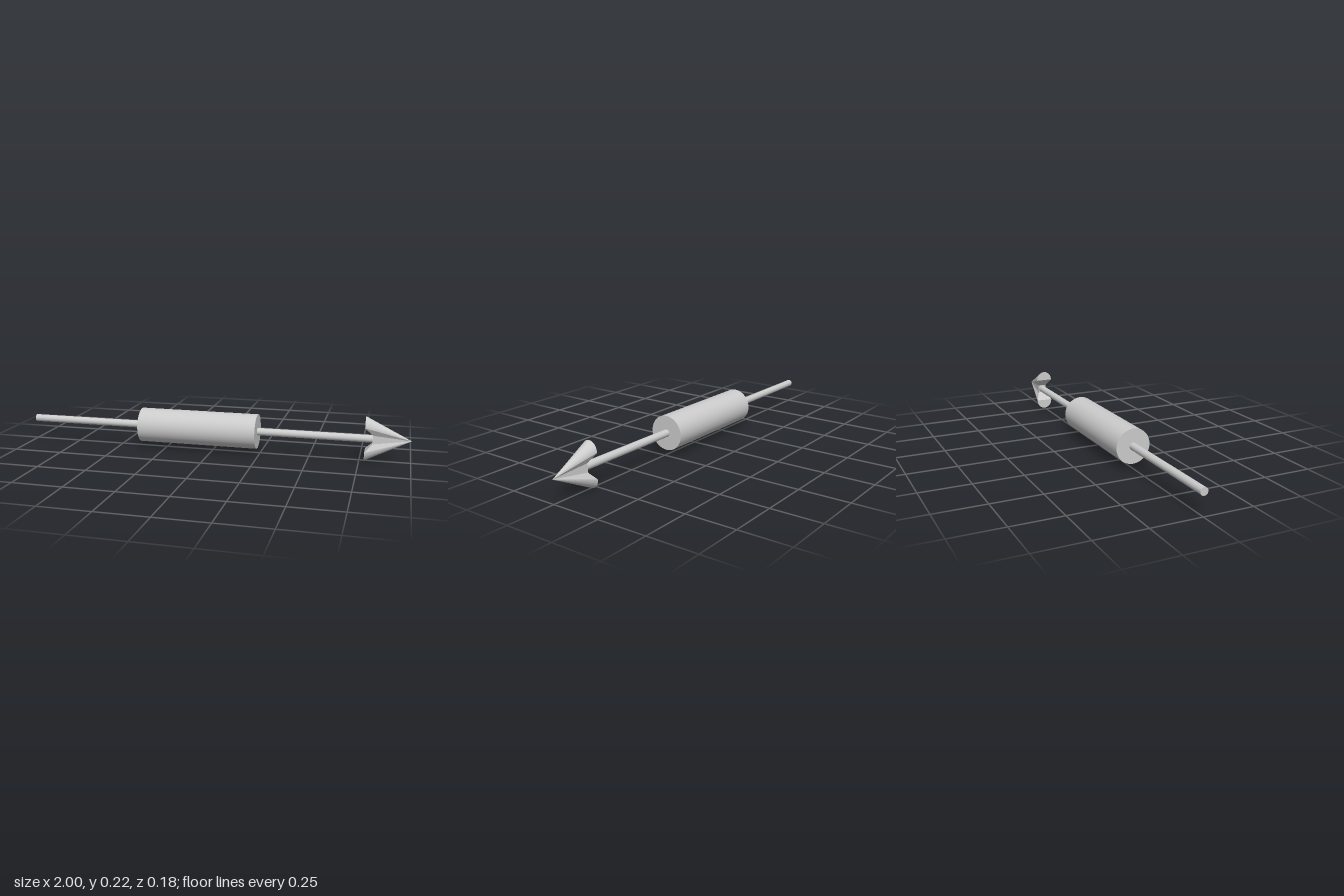
import * as THREE from 'three';

const AXIS_Y = 0.113;

// One barb of the arrowhead plus half of its waist; the other half is the same turned about x
function barbGeometry() {
  const tip = [1, 0, 0], base = 0.775, waist = 0.813, w = 0.022;
  const a = [waist, w, w], b = [waist, w, -w], below = [waist, -w, w];
  const steps = 16, rim = [];
  for (let i = 0; i <= steps; i++) {
    const t = (Math.PI * i) / steps;
    rim.push([base, 0.062 + 0.05 * Math.sin(t), 0.0445 * Math.cos(t)]);
  }
  const first = rim[0], last = rim[steps];
  const tris = [];
  for (let i = 0; i < steps; i++) {
    tris.push(tip, rim[i + 1], rim[i]); // rounded outside
    if (i > 0) tris.push(first, rim[i], rim[i + 1]); // flat rear end
  }
  tris.push(tip, first, a, tip, b, last); // flanks
  tris.push(tip, a, below); // waist side
  tris.push(first, last, b, first, b, a); // sloping underside of the barb
  tris.push(a, b, below); // rear of the waist
  const geometry = new THREE.BufferGeometry();
  geometry.setAttribute('position', new THREE.Float32BufferAttribute(tris.flat(), 3));
  geometry.computeVertexNormals();
  return geometry;
}

export function createModel() {
  const model = new THREE.Group();
  model.name = 'arrow';
  const smooth = new THREE.MeshStandardMaterial({ color: 0xcccccc });
  const faceted = new THREE.MeshStandardMaterial({ color: 0xcccccc, flatShading: true });

  // Round bar lying along x
  const bar = (name, x0, x1, radius, sides) => {
    const geometry = new THREE.CylinderGeometry(radius, radius, x1 - x0, sides);
    geometry.rotateZ(-Math.PI / 2);
    const mesh = new THREE.Mesh(geometry, smooth);
    mesh.name = name;
    mesh.position.set((x0 + x1) / 2, AXIS_Y, 0);
    model.add(mesh);
  };
  bar('shaft', -1, 0.83, 0.019, 32);
  bar('sleeve', -0.385, 0.235, 0.0885, 48);

  // Arrowhead with an upper and a lower barb
  const head = new THREE.Group();
  head.name = 'arrowhead';
  head.position.y = AXIS_Y;
  const geometry = barbGeometry();
  ['upperBarb', 'lowerBarb'].forEach((name, i) => {
    const barb = new THREE.Mesh(geometry, faceted);
    barb.name = name;
    barb.rotation.x = i * Math.PI;
    head.add(barb);
  });
  model.add(head);
  return model;
}
